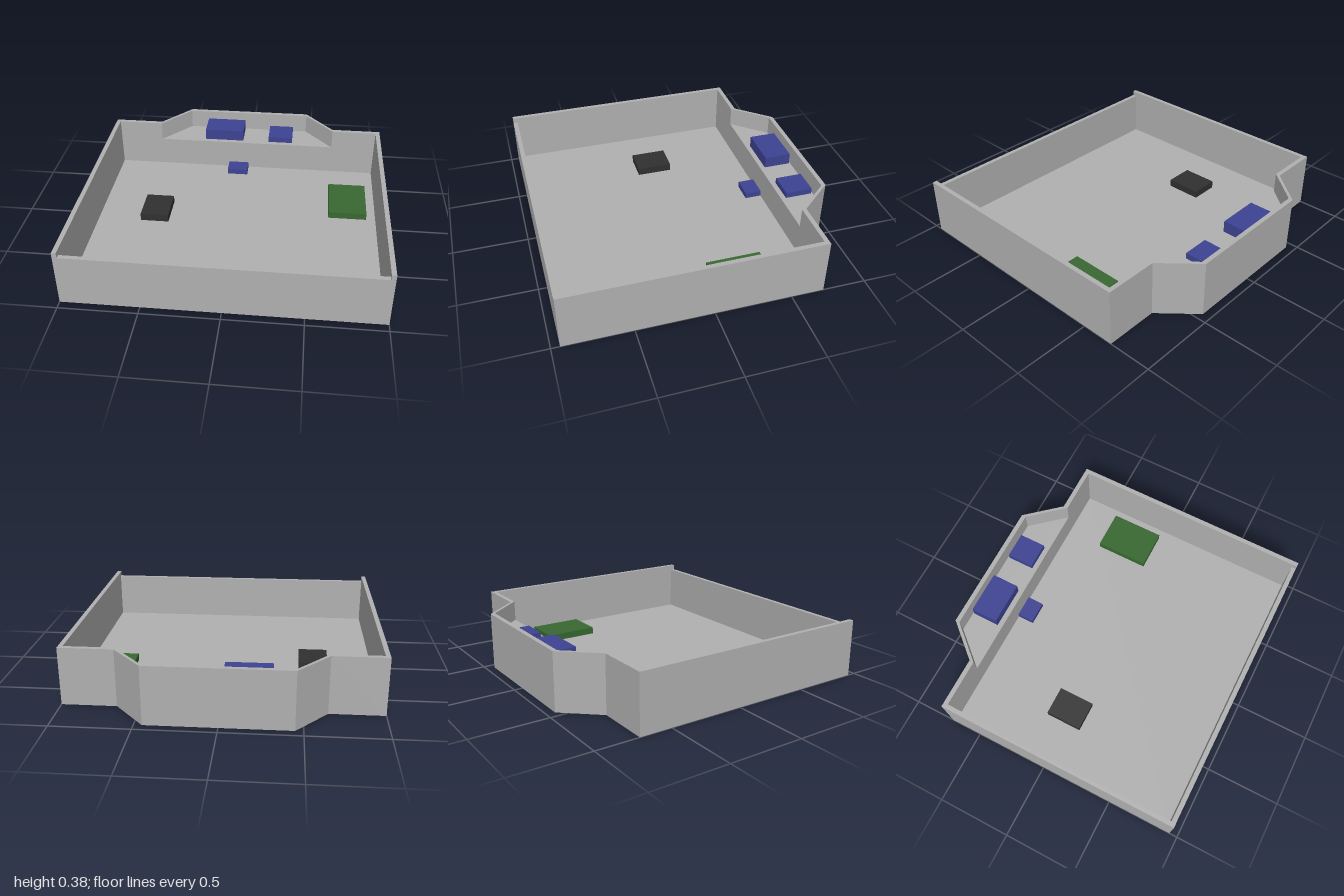
import * as THREE from 'three';

const H = 0.38;          // side and back wall height
const FRONT_H = 0.345;   // lower front wall
const FLOOR = 0.033;     // floor thickness
const DECK = 0.245;      // raised bay floor

const material = (name, color) => {
  const m = new THREE.MeshStandardMaterial({ color });
  m.name = name;
  return m;
};

// Vertical prism from a plan outline of [x, z] points
function prism(name, points, y0, y1, mat) {
  const shape = new THREE.Shape(points.map(([x, z]) => new THREE.Vector2(x, -z)));
  const geo = new THREE.ExtrudeGeometry(shape, { depth: y1 - y0, bevelEnabled: false });
  geo.rotateX(-Math.PI / 2).translate(0, y0, 0);
  const mesh = new THREE.Mesh(geo, mat);
  mesh.name = name;
  return mesh;
}

// Box given by its plan limits and heights
function block(name, x0, x1, z0, z1, y0, y1, mat) {
  const mesh = new THREE.Mesh(new THREE.BoxGeometry(x1 - x0, y1 - y0, z1 - z0), mat);
  mesh.position.set((x0 + x1) / 2, (y0 + y1) / 2, (z0 + z1) / 2);
  mesh.name = name;
  return mesh;
}

export function createModel() {
  const group = new THREE.Group();
  group.name = 'openTray';
  const grey = material('grey', 0xb0b0b0);
  const blue = material('blue', 0x3d4392);
  const green = material('green', 0x386830);
  const black = material('black', 0x303030);

  // Mirror a half outline (running from the front to the rear) into a full one
  const mirrored = (half) => [...half, ...half.map(([x, z]) => [-x, z]).reverse()];
  const outer = mirrored([[1, 0.945], [1, -0.715], [0.65, -0.715], [0.45, -0.945]]);
  const inner = mirrored([[0.97, 0.945], [0.97, -0.685], [0.65, -0.685], [0.45, -0.915]]);

  // Shell: side and rear walls in one run, lower front wall, floor, raised bay
  group.add(
    prism('sideAndRearWalls', [...outer, ...inner.slice().reverse()], 0, H, grey),
    block('frontWall', -0.97, 0.97, 0.915, 0.945, 0, FRONT_H, grey),
    block('floor', -0.97, 0.97, -0.685, 0.915, 0, FLOOR, grey),
    prism('raisedBay', [[0.65, -0.685], [0.45, -0.915], [-0.45, -0.915], [-0.65, -0.685]], 0, DECK, grey),
  );

  // Loose blocks on the bay and the floor
  group.add(
    block('largeBlueBlock', -0.315, -0.025, -0.905, -0.72, DECK, 0.325, blue),
    block('mediumBlueBlock', 0.17, 0.35, -0.905, -0.72, DECK, 0.285, blue),
    block('smallBlueBlock', -0.13, 0.02, -0.684, -0.57, FLOOR, 0.073, blue),
    block('greenBlock', 0.64, 0.905, -0.425, -0.06, FLOOR, 0.08, green),
    block('blackBlock', -0.67, -0.475, -0.145, 0.1, FLOOR, 0.085, black),
  );
  return group;
}
